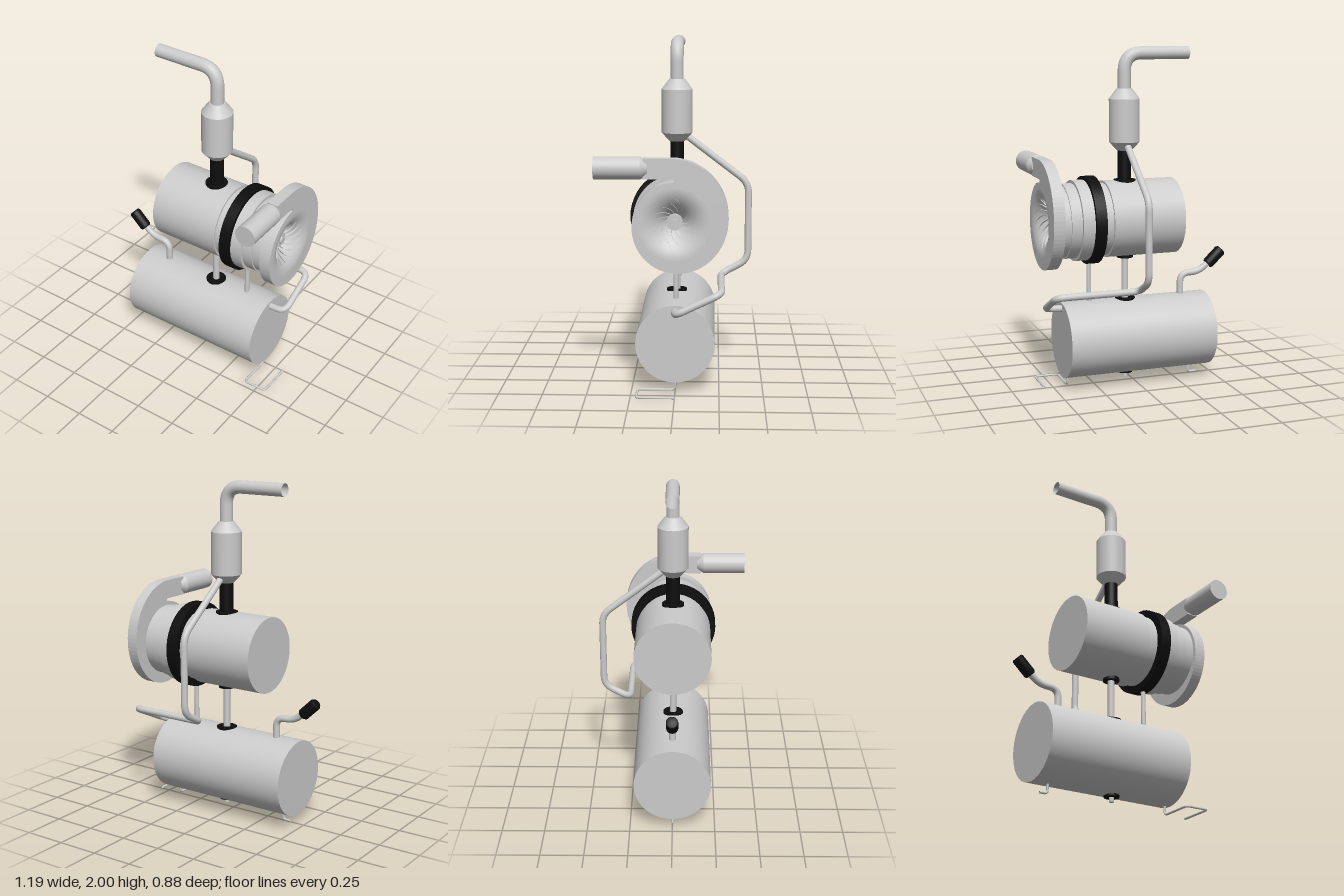
import * as THREE from 'three';

const grey = new THREE.MeshStandardMaterial({ color: 0xcccccc });
const greyThin = new THREE.MeshStandardMaterial({ color: 0xcccccc, side: THREE.DoubleSide });
const black = new THREE.MeshStandardMaterial({ color: 0x0d0d0d });
const V = (x, y, z = 0) => new THREE.Vector3(x, y, z);

export function createModel() {
  const model = new THREE.Group();

  function add(name, geometry, material = grey) {
    const mesh = new THREE.Mesh(geometry, material);
    mesh.name = name;
    model.add(mesh);
    return mesh;
  }

  // Cylinder or cone between two points
  function rod(name, a, b, r, material = grey, r2 = r, open = false) {
    const dir = b.clone().sub(a);
    const mesh = add(name, new THREE.CylinderGeometry(r2, r, dir.length(), 48, 1, open), material);
    mesh.position.copy(a).add(b).multiplyScalar(0.5);
    mesh.quaternion.setFromUnitVectors(V(0, 1, 0), dir.normalize());
    return mesh;
  }

  // Tube along straight runs with rounded corners
  function pipe(name, points, r, bend, segments = 120, sides = 20) {
    const path = new THREE.CurvePath();
    let from = points[0];
    for (let i = 1; i < points.length - 1; i++) {
      const p = points[i];
      const before = points[i - 1].clone().sub(p);
      const after = points[i + 1].clone().sub(p);
      const cut = Math.min(bend, before.length() * 0.48, after.length() * 0.48);
      const a = p.clone().addScaledVector(before.normalize(), cut);
      const b = p.clone().addScaledVector(after.normalize(), cut);
      path.add(new THREE.LineCurve3(from, a));
      path.add(new THREE.QuadraticBezierCurve3(a, p, b));
      from = b;
    }
    path.add(new THREE.LineCurve3(from, points[points.length - 1]));
    return add(name, new THREE.TubeGeometry(path, segments, r, sides, false), greyThin);
  }

  // Lower tank
  rod('tank', V(-0.46, 0.29), V(0.445, 0.29), 0.225);
  rod('drainFlange', V(0.05, 0.057), V(0.05, 0.075), 0.045, black);
  rod('drainPlug', V(0.05, 0.03), V(0.05, 0.06), 0.014);

  // Wire feet
  pipe('rightFoot', [V(-0.36, 0.09), V(-0.36, 0.012), V(-0.41, 0.012)], 0.007, 0.02, 30, 10);
  pipe('leftFoot', [V(0.412, 0.11), V(0.412, 0.012), V(0.412, 0.012, 0.215),
    V(0.555, 0.012, 0.215), V(0.555, 0.012, 0)], 0.007, 0.025, 90, 10);

  // Posts joining the tank to the upper drum
  rod('mainPost', V(0.05, 0.5), V(0.05, 0.79), 0.02);
  rod('secondPost', V(0.275, 0.49), V(0.275, 0.78), 0.014);
  rod('tankCollar', V(0.05, 0.49), V(0.05, 0.518), 0.06, black);
  rod('lowerDrumCollar', V(0.05, 0.762), V(0.05, 0.79), 0.048, black);
  rod('upperDrumCollar', V(0.05, 1.195), V(0.05, 1.228), 0.065, black);

  // Handle on a bent pipe
  pipe('handlePipe', [V(-0.305, 0.48), V(-0.305, 0.635), V(-0.425, 0.64), V(-0.5, 0.7)], 0.02, 0.055, 60);
  const gripAxis = new THREE.LatheGeometry([[0, -0.062], [0.028, -0.062], [0.035, -0.052],
    [0.035, 0.052], [0.028, 0.062], [0, 0.062]].map(p => new THREE.Vector2(...p)), 24);
  const grip = add('handleGrip', gripAxis, black);
  grip.position.set(-0.528, 0.723, 0);
  grip.rotation.z = 0.81;

  // Drum and its stepped rings, along x: [name, start, end, radius, material]
  for (const [name, x0, x1, r, mat] of [
    ['drum', -0.25, 0.185, 0.225, grey],
    ['drumNeck', 0.185, 0.24, 0.213, grey],
    ['clampBand', 0.24, 0.305, 0.257, black],
    ['largeRing', 0.305, 0.375, 0.236, grey],
    ['middleRing', 0.375, 0.438, 0.219, grey],
  ]) rod(name, V(x0, 1), V(x1, 1), r, mat);
  rod('smallRing', V(0.438, 1), V(0.5, 1), 0.211, greyThin, 0.211, true);

  // Scroll housing: growing spiral that runs out into a straight duct
  const radii = new THREE.SplineCurve([0.232, 0.232, 0.272, 0.295, 0.362]
    .map((r, i) => new THREE.Vector2(i, r)));
  const outline = [];
  for (let i = 0; i <= 72; i++) {
    const a = Math.PI / 2 + (i / 72) * Math.PI * 2;
    const r = radii.getPoint(i / 72).y;
    outline.push(new THREE.Vector2(Math.cos(a) * r, Math.sin(a) * r));
  }
  outline.push(new THREE.Vector2(-0.17, 0.362), new THREE.Vector2(-0.17, 0.25), new THREE.Vector2(-0.005, 0.25));
  const scroll = new THREE.Shape(outline);
  const inlet = new THREE.Path();
  inlet.absarc(0, 0, 0.2, 0, Math.PI * 2, true);
  scroll.holes.push(inlet);
  const housing = add('scrollHousing',
    new THREE.ExtrudeGeometry(scroll, { depth: 0.067, bevelEnabled: false, curveSegments: 48 }));
  housing.rotation.y = Math.PI / 2;
  housing.position.set(0.499, 1, 0);
  rod('outletFlare', V(0.532, 1.307, 0.145), V(0.532, 1.307, 0.185), 0.04, grey, 0.062);
  rod('outletPipe', V(0.532, 1.307, 0.185), V(0.532, 1.307, 0.44), 0.062);

  // Bell-shaped inlet with hub and swirling vanes
  const bell = t => [0.035 + 0.165 * t, 0.566 - 0.115 * Math.pow(1 - t, 2)];
  const bellProfile = [];
  for (let i = 0; i <= 16; i++) bellProfile.push(new THREE.Vector2(...bell(i / 16)));
  const funnel = add('inletBell', new THREE.LatheGeometry(bellProfile, 64), greyThin);
  funnel.rotation.z = -Math.PI / 2;
  funnel.position.y = 1;
  rod('hub', V(0.44, 1), V(0.495, 1), 0.045);
  rod('hubNut', V(0.495, 1), V(0.51, 1), 0.022);

  const vanePoints = [];
  const vaneFaces = [];
  const steps = 10;
  for (let v = 0; v < 14; v++) {
    for (let i = 0; i <= steps; i++) {
      const s = i / steps;
      const [r, x] = bell(0.05 + 0.65 * s);
      const a = (v / 14) * Math.PI * 2 + s * 0.9;
      const y = 1 + Math.cos(a) * r;
      const z = Math.sin(a) * r;
      vanePoints.push(x - 0.004, y, z, x + 0.02 * (1 - s), y, z);
      if (i < steps) {
        const k = (v * (steps + 1) + i) * 2;
        vaneFaces.push(k, k + 2, k + 1, k + 1, k + 2, k + 3);
      }
    }
  }
  const vanes = new THREE.BufferGeometry();
  vanes.setAttribute('position', new THREE.Float32BufferAttribute(vanePoints, 3));
  vanes.setIndex(vaneFaces);
  vanes.computeVertexNormals();
  add('inletVanes', vanes, greyThin);

  // Exhaust stack: black pipe, muffler and bent open tailpipe
  rod('stackPipe', V(0.052, 1.2), V(0.052, 1.41), 0.04, black);
  rod('mufflerBottomCone', V(0.052, 1.4), V(0.052, 1.45), 0.045, grey, 0.09);
  rod('mufflerBody', V(0.052, 1.45), V(0.052, 1.7), 0.09);
  rod('mufflerTopCone', V(0.052, 1.7), V(0.052, 1.76), 0.09, grey, 0.045);
  pipe('tailpipe', [V(0.052, 1.74), V(0.052, 1.962), V(-0.345, 1.962)], 0.038, 0.13, 80, 32);

  // Return pipe from the muffler down the back to the end of the tank
  pipe('returnPipe', [V(0.052, 1.45, -0.03), V(0.052, 1.155, -0.418), V(0.052, 0.695, -0.418),
    V(0.052, 0.61, -0.26), V(0.546, 0.61, -0.26), V(0.546, 0.485, 0), V(0.43, 0.48, 0)], 0.02, 0.06, 220);

  return model;
}
